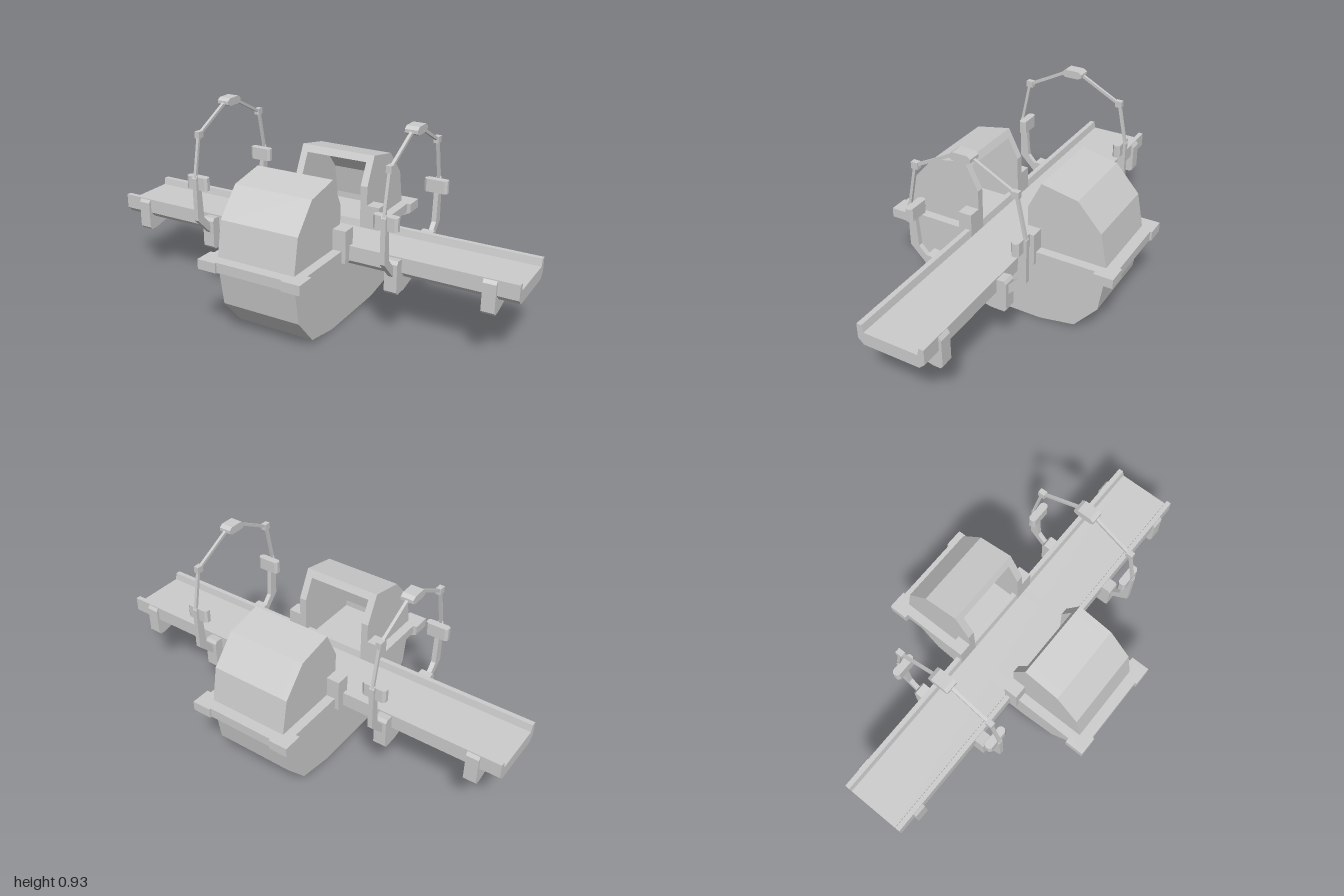
import * as THREE from 'three';
import { ConvexGeometry } from 'three/addons/geometries/ConvexGeometry.js';

export function createModel() {
  const model = new THREE.Group();
  const mat = new THREE.MeshStandardMaterial({ color: 0xcccccc, flatShading: true });

  function add(name, geo, x, y, z, parent) {
    const m = new THREE.Mesh(geo, mat);
    m.name = name;
    m.position.set(x, y, z);
    parent.add(m);
    return m;
  }
  const box = (name, w, h, d, x, y, z, parent) => add(name, new THREE.BoxGeometry(w, h, d), x, y, z, parent);

  function group(name, x = 0) {
    const g = new THREE.Group();
    g.name = name;
    g.position.x = x;
    model.add(g);
    return g;
  }

  // Mirrors half of a (z, y) outline to the other side of z = 0
  const mirror = (half) => [...half, ...half.filter((p) => p[0] !== 0).reverse().map(([z, y]) => [-z, y])];

  const toShape = (pts) => new THREE.Shape(pts.map(([a, b]) => new THREE.Vector2(a, b)));

  // Extrudes a (z, y) outline along x, centred on x
  function slab(name, pts, width, x, parent) {
    const geo = new THREE.ExtrudeGeometry(toShape(pts), { depth: width, bevelEnabled: false });
    geo.translate(0, 0, -width / 2).rotateY(-Math.PI / 2);
    return add(name, geo, x, 0, 0, parent);
  }

  // Square bar between two (z, y) points
  function bar(name, a, b, size, parent) {
    const dz = b[0] - a[0], dy = b[1] - a[1];
    const m = box(name, size, Math.hypot(dz, dy), size, 0, (a[1] + b[1]) / 2, (a[0] + b[0]) / 2, parent);
    m.rotation.x = Math.atan2(dz, dy);
  }

  // Faceted hollow drum with an open slot at the top
  const drum = group('drum');
  const rim = [[0.19, 0.705], [0.36, 0.672], [0.47, 0.548], [0.5, 0.39],
    [0.5, 0.345], [0.47, 0.16], [0.36, 0.033], [0.19, 0.003]];
  const wall = mirror([[0.125, 0.37], [0.125, 0.575], ...rim]);
  for (const s of [-1, 1]) slab('drumSideWall', wall, 0.034, s * 0.171, drum);
  const lining = mirror([[0.465, 0.36], [0.465, 0.39], [0.44, 0.53], [0.343, 0.643], [0.174, 0.673], ...rim]);
  slab('drumShell', lining, 0.308, 0, drum);

  // Frame around the drum
  const frame = group('drumFrame');
  const arm = mirror([[0, 0.375], [0.125, 0.375], [0.125, 0.485], [0.19, 0.485], [0.19, 0.39],
    [0.55, 0.39], [0.55, 0.345], [0.3, 0.345], [0.2, 0.33], [0, 0.318]]);
  for (const s of [-1, 1]) {
    slab('frameArm', arm, 0.045, s * 0.2085, frame);
    box('frameCrossBar', 0.46, 0.045, 0.055, 0, 0.3675, s * 0.523, frame);
    for (const t of [-1, 1]) {
      box('framePost', 0.065, 0.15, 0.065, t * 0.2175, 0.41, s * 0.1575, frame);
      // Corner piece tapered on its underside
      const pts = [];
      for (const y of [0.345, 0.39]) {
        for (const [x, z] of [[0.25, 0.56], [0.25, 0.47], [0.16, 0.56], [0.16, 0.5], [0.19, 0.47]]) {
          pts.push(new THREE.Vector3(t * x, y, s * z));
        }
      }
      pts.push(new THREE.Vector3(t * 0.16, 0.315, s * 0.48), new THREE.Vector3(t * 0.19, 0.315, s * 0.47));
      add('frameCorner', new ConvexGeometry(pts), 0, 0, 0, frame);
    }
  }

  // Long table with raised edges
  const table = mirror([[0.125, 0.375], [0.132, 0.408], [0.155, 0.408], [0.155, 0.34], [0.13, 0.315]]);
  slab('table', table, 2, 0, model);

  // Brackets under the table
  const bracket = (w) => mirror([[0.14, 0.32], [0.14, 0.4], [w - 0.01, 0.405], [w, 0.39],
    [w, 0.265], [w - 0.01, 0.253], [0.125, 0.253], [0, 0.283]]);
  for (const s of [-1, 1]) {
    slab('outerBracket', bracket(0.168), 0.058, s * 0.88, model);
    slab('archBracket', bracket(0.2), 0.058, s * 0.468, model);
  }

  // Arches over the table
  const leg = [[0.19, 0.33], [0.19, 0.37], [0.24, 0.425], [0.25, 0.565], [0.268, 0.62],
    [0.275, 0.635], [0.284, 0.62], [0.284, 0.42], [0.2, 0.335]];
  const panel = toShape([[-0.055, -0.009], [-0.043, -0.018], [0.043, -0.018], [0.055, -0.009],
    [0.055, 0.009], [0.043, 0.018], [-0.043, 0.018], [-0.055, 0.009]]);
  for (const s of [-1, 1]) {
    const arch = group('arch', s * 0.468);
    for (const t of [-1, 1]) {
      slab('archLowerLeg', leg.map(([z, y]) => [t * z, y]), 0.022, 0, arch);
      bar('archUpperLeg', [t * 0.276, 0.62], [t * 0.237, 0.81], 0.013, arch);
      bar('archTopRod', [t * 0.235, 0.812], [t * 0.035, 0.917], 0.013, arch);
      box('archJoint', 0.024, 0.03, 0.032, 0, 0.814, t * 0.234, arch);
      const geo = new THREE.ExtrudeGeometry(panel, { depth: 0.06, bevelEnabled: false }).rotateX(-Math.PI / 2);
      add('archPanel', geo, 0, 0.565, t * 0.253, arch);
    }
    slab('archHead', mirror([[0.032, 0.937], [0.049, 0.925], [0.049, 0.91], [0.032, 0.901]]), 0.058, 0, arch);
  }
  return model;
}
